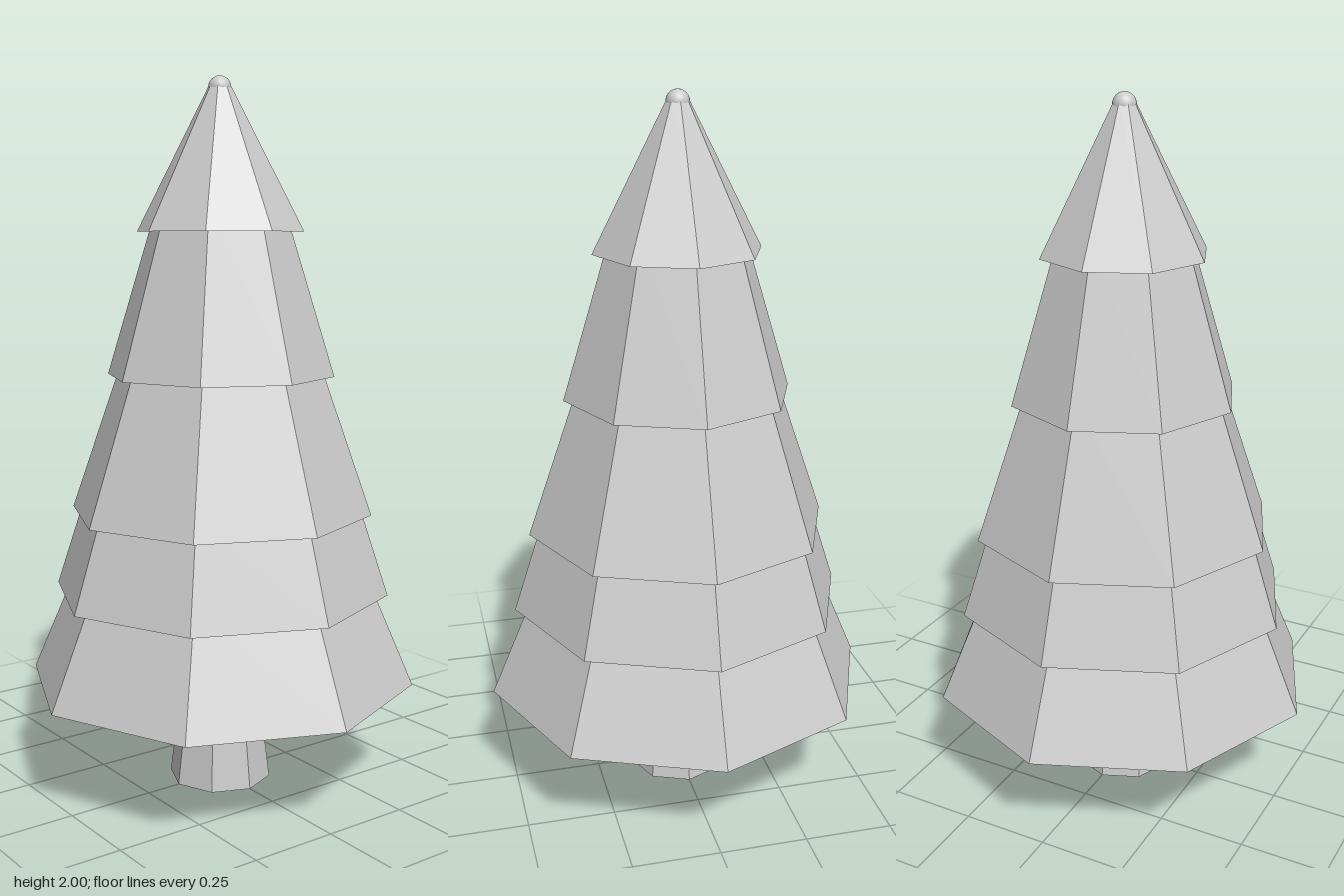
import * as THREE from 'three';

const SIDES = 8;

export function createModel() {
  const tree = new THREE.Group();
  tree.name = 'pineTree';
  const flat = new THREE.MeshStandardMaterial({ color: 0xcccccc, flatShading: true });
  const smooth = new THREE.MeshStandardMaterial({ color: 0xcccccc });

  // Eight-sided solid turned from a [radius, height] profile, listed bottom to top
  function addTurned(name, profile) {
    const points = profile.map(([r, y]) => new THREE.Vector2(r, y));
    const mesh = new THREE.Mesh(new THREE.LatheGeometry(points, SIDES), flat);
    mesh.name = name;
    tree.add(mesh);
  }

  // Trunk, waisted and flaring into the foliage
  addTurned('trunk', [[0, 0], [0.147, 0], [0.122, 0.2], [0.15, 0.35]]);

  // Foliage tiers: rim height, rim radius, top height, top radius,
  // and the inner radius and rise of the hollowed underside
  const tiers = [
    [0.30, 0.557, 0.62, 0.42, 0.14, 0.04],
    [0.56, 0.482, 0.85, 0.387, 0.43, 0.05],
    [0.79, 0.432, 1.24, 0.275, 0.385, 0.05],
    [1.18, 0.323, 1.64, 0.182, 0.277, 0.05],
    [1.58, 0.235, 1.978, 0.028, 0.183, 0.05],
  ];
  tiers.forEach(([y, r, topY, topR, innerR, rise], i) => {
    addTurned(`foliageTier${i + 1}`, [[innerR, y + rise], [r, y], [topR, topY], [0, topY]]);
  });

  // Rounded tip
  const tip = new THREE.Mesh(new THREE.SphereGeometry(0.032, 24, 12), smooth);
  tip.name = 'tip';
  tip.position.y = 1.968;
  tree.add(tip);

  return tree;
}
